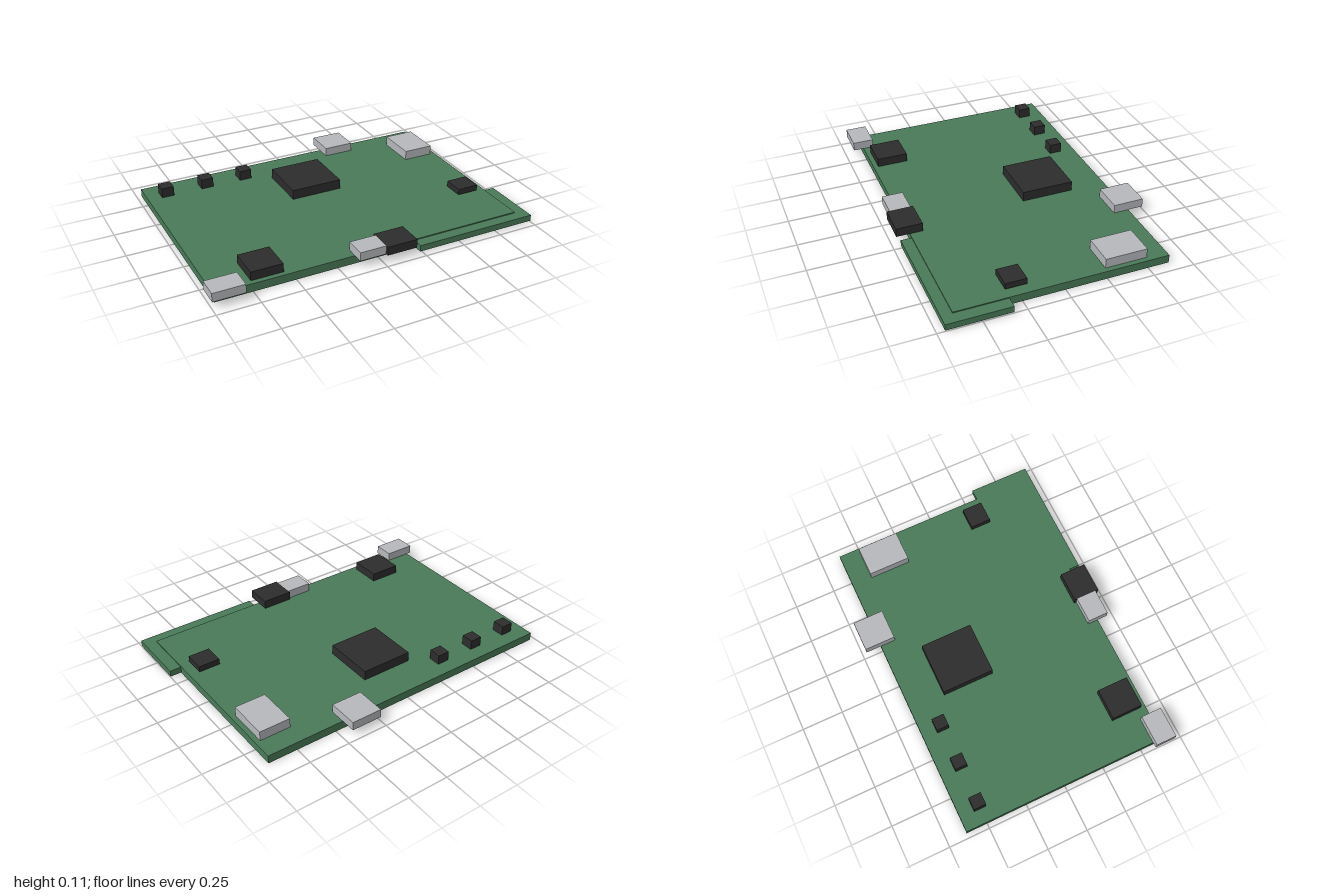
import * as THREE from 'three';

const material = (name, color) => {
  const m = new THREE.MeshStandardMaterial({ color });
  m.name = name;
  return m;
};

export function createModel() {
  const green = material('boardGreen', 0x4a7c59);
  const dark = material('chipBlack', 0x2d2d2d);
  const silver = material('connectorSilver', 0xb8bbbf);
  const model = new THREE.Group();
  model.name = 'circuitBoard';

  // Box given by its extents along x, y and z
  const block = (name, mat, [x0, x1], [y0, y1], [z0, z1]) => {
    const mesh = new THREE.Mesh(new THREE.BoxGeometry(x1 - x0, y1 - y0, z1 - z0), mat);
    mesh.position.set((x0 + x1) / 2, (y0 + y1) / 2, (z0 + z1) / 2);
    mesh.name = name;
    model.add(mesh);
  };

  // Main board and the slightly thinner corner slab
  const top = 0.05;
  block('mainBoard', green, [-0.97, 0.93], [0, top], [-0.63, 0.64]);
  block('cornerBoard', green, [0.235, 1], [0.006, 0.044], [0.325, 0.705]);

  // Chips
  block('processor', dark, [-0.18, 0.14], [top, 0.11], [-0.41, -0.09]);
  block('frontChip', dark, [-0.75, -0.56], [top, 0.103], [0.42, 0.61]);
  block('sideChip', dark, [0.74, 0.873], [0.06, 0.096], [0.2, 0.327]);
  for (const x of [-0.847, -0.592, -0.337]) {
    block('smallChip', dark, [x - 0.038, x + 0.038], [top, 0.11], [-0.542, -0.466]);
  }

  // Connectors along the edges
  block('backConnector', silver, [0.267, 0.455], [top, 0.103], [-0.723, -0.536]);
  block('sideConnector', silver, [0.71, 0.9], [top, 0.109], [-0.504, -0.25]);
  block('frontCornerConnector', silver, [-1, -0.812], [top, 0.103], [0.575, 0.702]);
  block('frontConnector', silver, [-0.145, 0.015], [top, 0.103], [0.575, 0.702]);
  block('frontSocket', dark, [0.015, 0.203], [top, 0.103], [0.56, 0.72]);

  return model;
}
